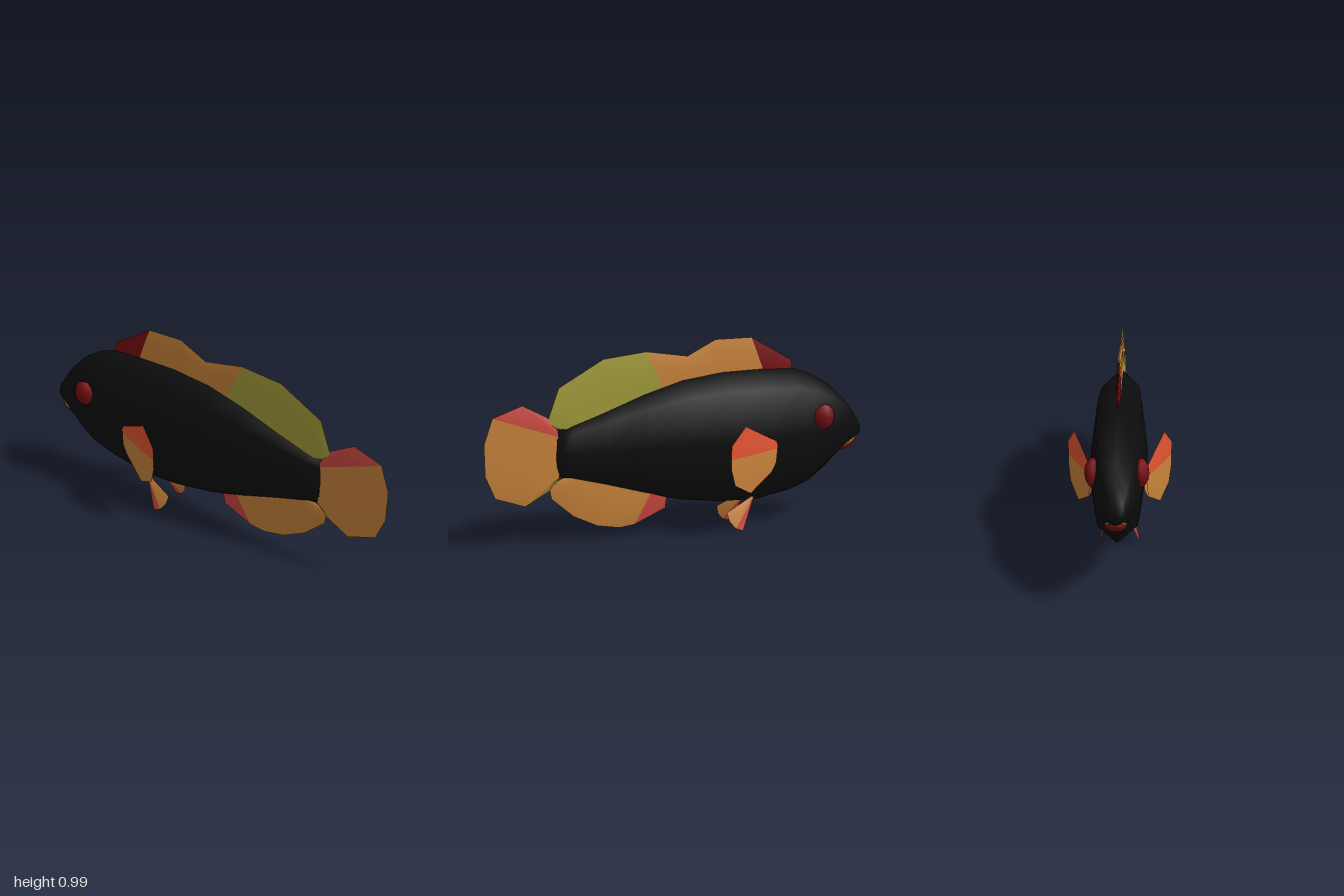
import * as THREE from 'three';

const mat = (name, color) => {
  const m = new THREE.MeshStandardMaterial({ color, side: THREE.DoubleSide });
  m.name = name;
  return m;
};

// Grid of points (rows of equal length) skinned into a triangle list
function skin(rows, close = false) {
  const n = rows[0].length, idx = [];
  for (let i = 0; i < rows.length - 1; i++)
    for (let j = 0; j < (close ? n : n - 1); j++) {
      const k = (j + 1) % n, a = i * n + j, b = i * n + k, c = a + n, d = b + n;
      idx.push(a, b, d, a, d, c);
    }
  return { pos: rows.flat(2), idx };
}

function toGeometry({ pos, idx }) {
  const g = new THREE.BufferGeometry();
  g.setAttribute('position', new THREE.Float32BufferAttribute(pos, 3));
  g.setIndex(idx);
  g.computeVertexNormals();
  return g;
}

// Lens-shaped fin: each ray is [root z, root y, tip z, tip y];
// xAt gives the middle plane, bands give [material, first ray, last ray]
function fin(name, rays, bands, thick, xAt = () => 0) {
  const group = new THREE.Group();
  group.name = name;
  const steps = [[0, 1], [0.35, 1], [0.72, 0.7], [1, 0.04]];
  const last = rays.length - 1;
  for (const [material, from, to] of bands)
    for (const side of [1, -1]) {
      const rows = [];
      for (let i = from; i <= to; i++) {
        const [z0, y0, z1, y1] = rays[i];
        const edge = i === 0 || i === last ? 0.1 : 1;
        rows.push(steps.map(([t, w]) => {
          const z = z0 + (z1 - z0) * t, y = y0 + (y1 - y0) * t;
          return [xAt(z, y) + side * thick * w * edge, y, z];
        }));
      }
      const mesh = new THREE.Mesh(toGeometry(skin(rows)), material);
      mesh.name = name + 'Band';
      group.add(mesh);
    }
  return group;
}

function ellipsoid(name, material, pos, scale, tilt = 0) {
  const mesh = new THREE.Mesh(new THREE.SphereGeometry(1, 8, 6), material);
  mesh.name = name;
  mesh.position.set(...pos);
  mesh.scale.set(...scale);
  mesh.rotation.x = tilt;
  return mesh;
}

export function createModel() {
  const black = mat('bodyBlack', 0x0d0d0d);
  const orange = mat('finOrange', 0xcb853b);
  const olive = mat('finOlive', 0xa39d3a);
  const red = mat('finRed', 0xcc4840);
  const coral = mat('pectoralCoral', 0xe25433);
  const darkRed = mat('darkRed', 0x780e12);

  const fish = new THREE.Group();
  fish.name = 'fish';

  // Body: eight-sided rings of [z, top, bottom, half width], head at -z
  const rings = [
    [-1, 0.5, 0.45, 0.03], [-0.985, 0.54, 0.43, 0.04], [-0.94, 0.605, 0.4, 0.062],
    [-0.88, 0.668, 0.355, 0.083], [-0.81, 0.73, 0.282, 0.1], [-0.715, 0.785, 0.21, 0.117],
    [-0.61, 0.82, 0.17, 0.128], [-0.42, 0.836, 0.135, 0.137], [-0.217, 0.83, 0.14, 0.136],
    [0, 0.8, 0.17, 0.125], [0.2, 0.74, 0.217, 0.102], [0.41, 0.66, 0.28, 0.075],
    [0.57, 0.605, 0.323, 0.053], [0.62, 0.59, 0.335, 0.036], [0.66, 0.55, 0.36, 0.008],
  ];
  const loops = rings.map(([z, top, bottom, w]) => {
    const loop = [];
    for (let k = 0; k < 8; k++) {
      const a = k * Math.PI / 4;
      const wide = k % 2 ? 1.08 : 1;
      loop.push([Math.sin(a) * w * wide, (top + bottom) / 2 + Math.cos(a) * (top - bottom) / 2, z]);
    }
    return loop;
  });
  const shell = skin(loops, true);
  const end = (rings.length - 1) * 8;
  for (let k = 1; k < 7; k++) {
    shell.idx.push(0, k + 1, k);
    shell.idx.push(end, end + k, end + k + 1);
  }
  const body = new THREE.Mesh(toGeometry(shell), black);
  body.name = 'body';
  fish.add(body);

  // Dorsal fin
  fish.add(fin('dorsalFin', [
    [-0.61, 0.8, -0.6, 0.865], [-0.44, 0.815, -0.375, 0.99], [-0.2, 0.81, -0.18, 0.987],
    [-0.03, 0.78, -0.03, 0.91], [0.1, 0.745, 0.185, 0.942], [0.33, 0.67, 0.405, 0.915],
    [0.52, 0.605, 0.63, 0.785], [0.6, 0.58, 0.69, 0.62], [0.61, 0.575, 0.66, 0.59],
  ], [[darkRed, 0, 1], [orange, 1, 4], [olive, 4, 8]], 0.011));

  // Tail fin
  fish.add(fin('tailFin', [
    [0.64, 0.575, 0.69, 0.645], [0.64, 0.565, 0.81, 0.71], [0.64, 0.548, 0.955, 0.657],
    [0.64, 0.5, 1, 0.53], [0.64, 0.41, 1, 0.375], [0.64, 0.365, 0.955, 0.26],
    [0.64, 0.345, 0.81, 0.208], [0.64, 0.33, 0.69, 0.275],
  ], [[red, 0, 2], [orange, 2, 6], [olive, 6, 7]], 0.013));

  // Anal fin
  fish.add(fin('analFin', [
    [0.08, 0.21, 0.09, 0.135], [0.17, 0.225, 0.255, 0.062], [0.25, 0.25, 0.335, 0.053],
    [0.34, 0.275, 0.45, 0.075], [0.43, 0.3, 0.57, 0.135], [0.53, 0.33, 0.68, 0.235],
    [0.58, 0.34, 0.69, 0.295], [0.6, 0.345, 0.635, 0.33],
  ], [[red, 0, 1], [orange, 1, 7]], 0.011));

  // Paired fins and eyes
  for (const s of [1, -1]) {
    const side = s > 0 ? 'left' : 'right';
    fish.add(fin(side + 'PectoralFin', [
      [-0.465, 0.47, -0.26, 0.577], [-0.47, 0.45, -0.17, 0.49], [-0.47, 0.432, -0.17, 0.422],
      [-0.47, 0.41, -0.17, 0.37], [-0.465, 0.36, -0.195, 0.285], [-0.44, 0.315, -0.297, 0.227],
    ], [[coral, 0, 2], [orange, 2, 5]], 0.007, (z) => s * (0.13 + (z + 0.465) * 0.425)));

    fish.add(fin(side + 'PelvicFin', [
      [-0.38, 0.165, -0.3, 0], [-0.375, 0.165, -0.262, 0.014],
      [-0.365, 0.165, -0.232, 0.05], [-0.355, 0.16, -0.22, 0.096],
    ], [[red, 0, 1], [orange, 1, 3]], 0.006, (z, y) => s * (0.05 + (0.165 - y) * 0.31)));

    fish.add(ellipsoid(side + 'Eye', darkRed, [s * 0.108, 0.573, -0.745], [0.036, 0.067, 0.06]));
  }

  // Mouth under the snout, with a thin lip line
  fish.add(ellipsoid('mouth', darkRed, [0, 0.402, -0.935], [0.046, 0.022, 0.064], 0.59));
  fish.add(ellipsoid('lip', olive, [0, 0.416, -0.937], [0.052, 0.008, 0.064], 0.59));

  return fish;
}
